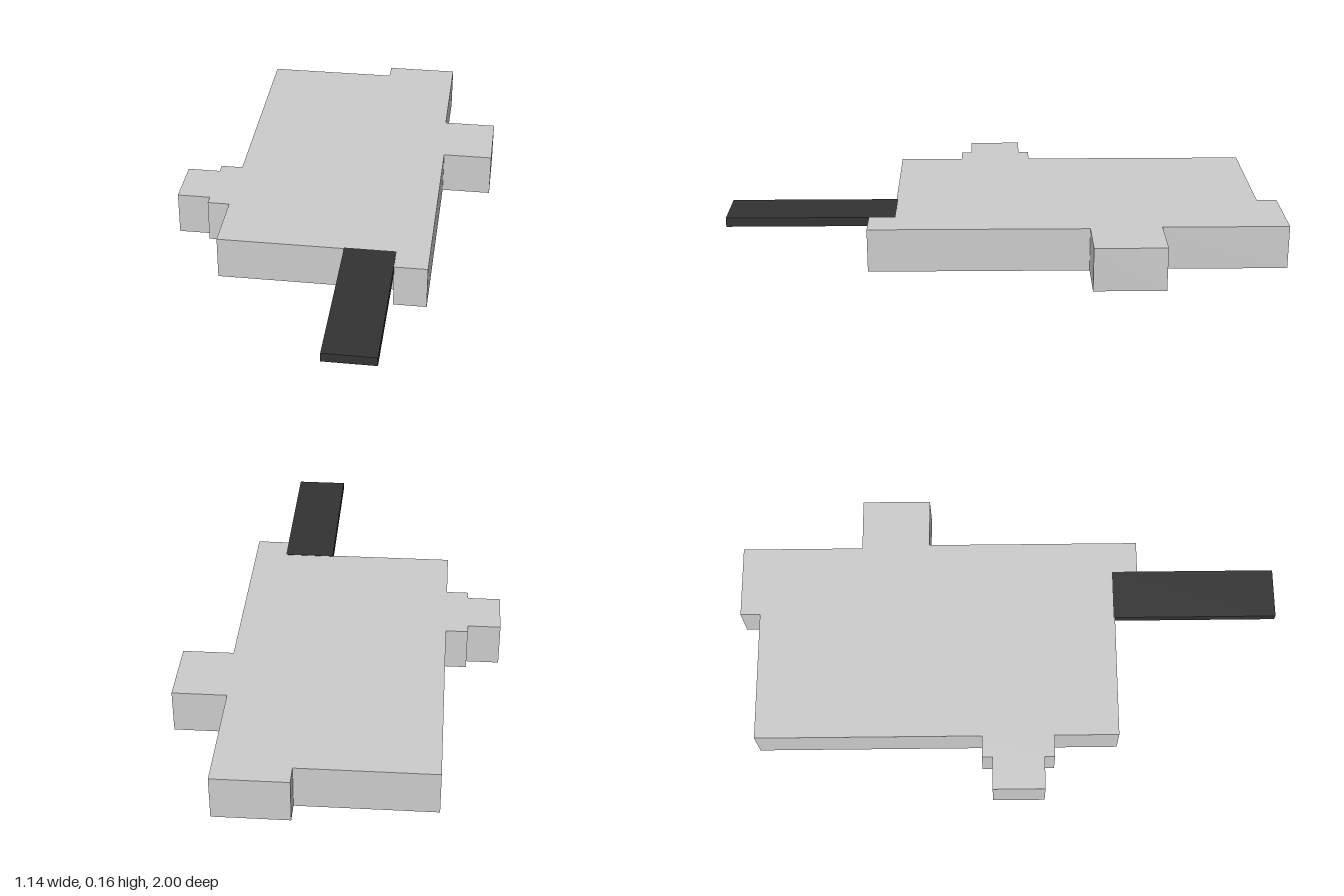
import * as THREE from 'three';

const HEIGHT = 0.159;

// Box given by its minimum and maximum corners
function boxBetween(name, min, max, material) {
  const size = max.map((v, i) => v - min[i]);
  const mesh = new THREE.Mesh(new THREE.BoxGeometry(...size), material);
  mesh.position.set(...max.map((v, i) => (v + min[i]) / 2));
  mesh.name = name;
  return mesh;
}

export function createModel() {
  const group = new THREE.Group();
  const grey = new THREE.MeshStandardMaterial({ color: 0xcccccc, flatShading: true });
  const dark = new THREE.MeshStandardMaterial({ color: 0x333333, flatShading: true });

  // Floor outline as [x, z] corners
  const outline = [
    [-0.37, 0.4], [0.27, 0.4], [0.27, 0.49], [0.388, 0.49], // front edge and corner block
    [0.388, -0.295], [0.57, -0.295], [0.57, -0.55], [0.377, -0.55], // left side bay
    [0.377, -1], [0.112, -1], [0.112, -0.927], [-0.37, -0.927], // back edge and bay
    [-0.37, -0.1], [-0.45, -0.1], [-0.45, -0.062], [-0.57, -0.062], // stepped right bay
    [-0.57, 0.128], [-0.45, 0.128], [-0.45, 0.165], [-0.37, 0.165],
  ];
  const shape = new THREE.Shape(outline.map(([x, z]) => new THREE.Vector2(x, -z)));
  const slabGeometry = new THREE.ExtrudeGeometry(shape, { depth: HEIGHT, bevelEnabled: false });
  slabGeometry.rotateX(-Math.PI / 2);
  const slab = new THREE.Mesh(slabGeometry, grey);
  slab.name = 'floorSlab';
  group.add(slab);

  // Thin dark walkway leading out from the front edge
  group.add(boxBetween('walkway', [0.085, 0.127, 0.395], [0.27, HEIGHT + 0.001, 1], dark));

  return group;
}
